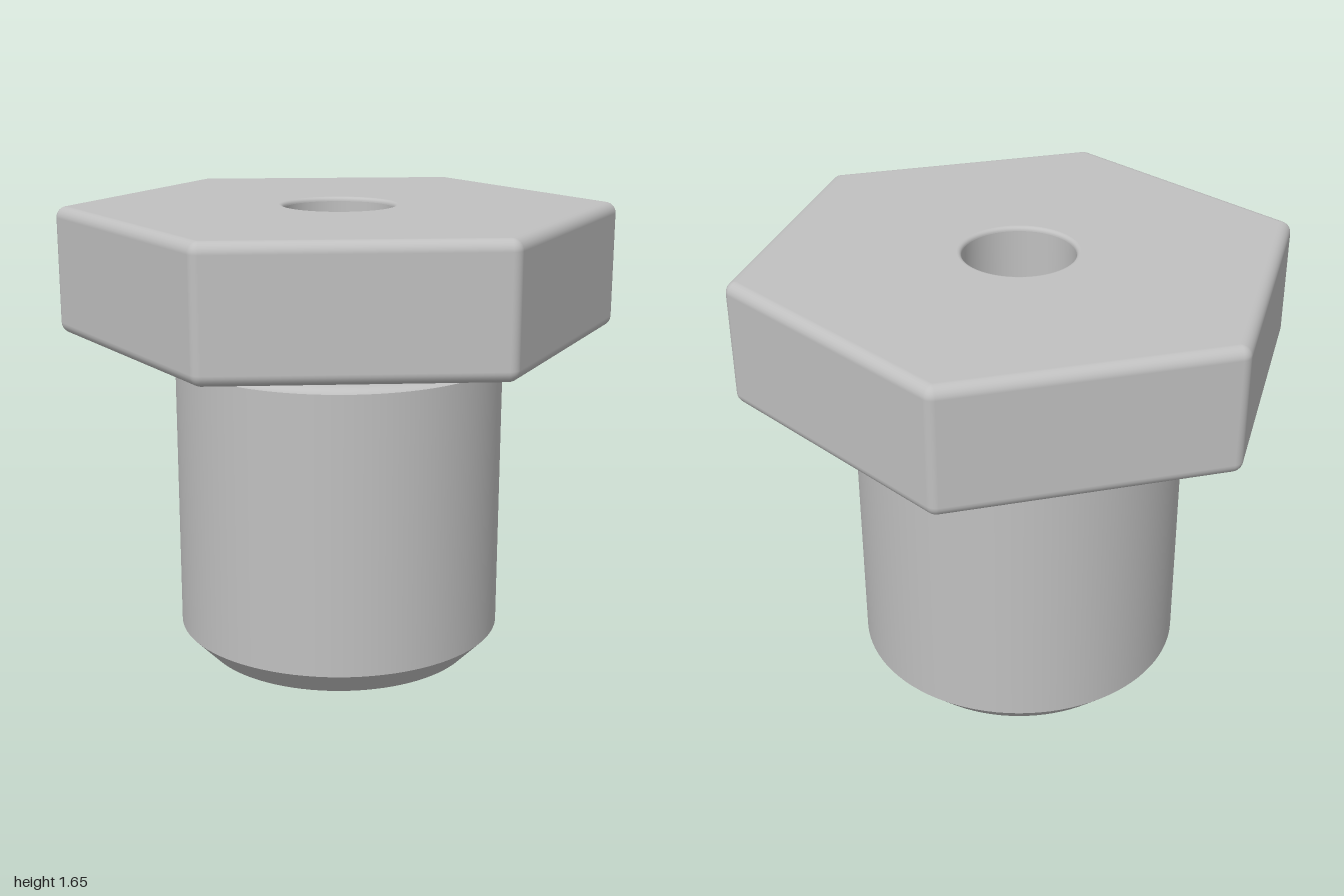
import * as THREE from 'three';

const HEIGHT = 1.655, HEAD_BOTTOM = 1.2, FILLET = 0.04, CORNER = 0.96;
const BORE = 0.198, RIM = 0.015, SHANK = 0.597;

// Hexagonal side wall with every edge rounded: a small sphere swept around the hexagon
function roundedHexWall() {
  const steps = 6, pos = [], nor = [], idx = [];
  const rings = [];
  for (let i = 0; i <= steps; i++) rings.push([-Math.PI / 2 * (1 - i / steps), HEAD_BOTTOM + FILLET]);
  for (let i = 0; i <= steps; i++) rings.push([Math.PI / 2 * i / steps, HEIGHT - FILLET]);
  for (const [lat, y] of rings) {
    for (let c = 0; c <= 6; c++) {
      const a = c * Math.PI / 3;
      for (let k = 0; k <= steps; k++) {
        const t = a + (k / steps - 0.5) * Math.PI / 3;
        const n = [Math.cos(lat) * Math.cos(t), Math.sin(lat), Math.cos(lat) * Math.sin(t)];
        nor.push(...n);
        pos.push(CORNER * Math.cos(a) + FILLET * n[0], y + FILLET * n[1], CORNER * Math.sin(a) + FILLET * n[2]);
      }
    }
  }
  const row = 7 * (steps + 1);
  for (let r = 0; r < rings.length - 1; r++) {
    for (let j = 0; j < 6 * (steps + 1); j++) {
      const a = r * row + j, b = a + 1, c = a + row, d = c + 1;
      idx.push(a, c, b, b, c, d);
    }
  }
  const g = new THREE.BufferGeometry();
  g.setAttribute('position', new THREE.Float32BufferAttribute(pos, 3));
  g.setAttribute('normal', new THREE.Float32BufferAttribute(nor, 3));
  g.setIndex(idx);
  return g;
}

// Flat hexagon with a round opening
function hexFace(holeRadius, y, up) {
  const shape = new THREE.Shape();
  for (let c = 0; c < 6; c++) {
    const a = c * Math.PI / 3;
    shape[c ? 'lineTo' : 'moveTo'](CORNER * Math.cos(a), CORNER * Math.sin(a));
  }
  shape.closePath();
  shape.holes.push(new THREE.Path().absarc(0, 0, holeRadius, 0, Math.PI * 2, true));
  return new THREE.ShapeGeometry(shape, 48).rotateX(up ? -Math.PI / 2 : Math.PI / 2).translate(0, y, 0);
}

// Points along an arc in the (radius, height) plane
function arc(cx, cy, r, from, to, n = 12) {
  return Array.from({ length: n + 1 }, (_, i) => {
    const a = from + (to - from) * i / n;
    return [cx + r * Math.cos(a), cy + r * Math.sin(a)];
  });
}

export function createModel() {
  const group = new THREE.Group();
  const steel = new THREE.MeshStandardMaterial({ color: 0xc0c0c0 });
  steel.name = 'grey metal';

  const add = (name, geometry) => {
    const mesh = new THREE.Mesh(geometry, steel);
    mesh.name = name;
    group.add(mesh);
  };
  const turn = (name, points) =>
    add(name, new THREE.LatheGeometry(points.map(p => new THREE.Vector2(...p)), 96));

  // Hexagonal head
  add('headWall', roundedHexWall());
  add('headTop', hexFace(BORE + RIM, HEIGHT, true));
  add('headUnderside', hexFace(0.55, HEAD_BOTTOM, false));

  // Turned shank, one surface per crease
  const grooveLow = 1.105, grooveR = (HEAD_BOTTOM - grooveLow) / 2;
  turn('shankEnd', [[BORE, 0], [0.505, 0]]);
  turn('shankChamfer', [[0.505, 0], [SHANK, 0.095]]);
  turn('shank', [[SHANK, 0.095], [SHANK, grooveLow]]);
  turn('neckGroove', arc(SHANK, grooveLow + grooveR, grooveR, Math.PI * 1.5, Math.PI * 0.5));

  // Through bore with a softened upper rim
  turn('boreRim', arc(BORE + RIM, HEIGHT - RIM, RIM, Math.PI / 2, Math.PI, 6));
  turn('bore', [[BORE, HEIGHT - RIM], [BORE, 0]]);

  return group;
}
